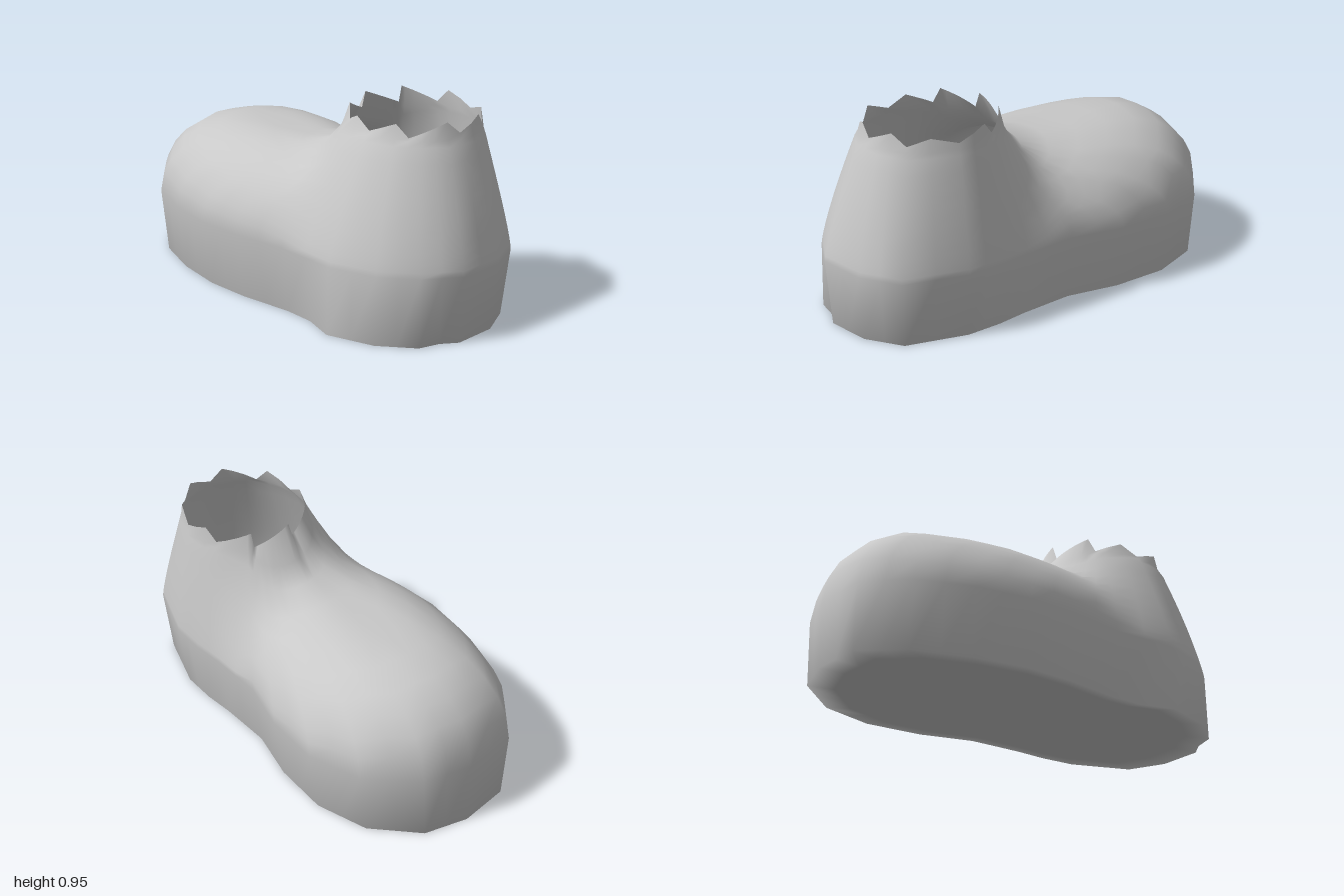
import * as THREE from 'three';

// widest outline of the foot (x, z) at y = 0.31, from the heel round by +x to the toe
const OUTLINE = [
  [0.13, 0.995], [0.35, 0.93], [0.505, 0.8], [0.555, 0.5], [0.53, 0.33], [0.49, 0.18], [0.44, -0.08],
  [0.46, -0.34], [0.425, -0.61], [0.3, -0.84], [0.07, -0.99], [-0.16, -1.0], [-0.41, -0.92],
  [-0.525, -0.71], [-0.56, -0.44], [-0.545, -0.18], [-0.485, 0.05], [-0.385, 0.31], [-0.32, 0.62],
  [-0.2, 0.82], [-0.05, 0.935],
].map(([x, z]) => new THREE.Vector2(x, z));
const ANKLE = { x: 0.185, z: 0.5, rx: 0.285, rz: 0.305 };
const WIDE_Y = 0.31;

const { smoothstep, lerp } = THREE.MathUtils;

// shortest distance from a point to the outline
function edgeDistance(p) {
  let best = Infinity;
  OUTLINE.forEach((a, i) => {
    const ab = OUTLINE[(i + 1) % OUTLINE.length].clone().sub(a);
    const t = THREE.MathUtils.clamp(p.clone().sub(a).dot(ab) / ab.lengthSq(), 0, 1);
    best = Math.min(best, p.distanceTo(a.clone().addScaledVector(ab, t)));
  });
  return best;
}

// approximate distance outward from the ankle opening
function ankleDistance(p) {
  const dx = p.x - ANKLE.x, dz = p.y - ANKLE.z;
  const e = Math.hypot(dx / ANKLE.rx, dz / ANKLE.rz);
  return Math.max(0, Math.hypot(dx, dz) * (1 - 1 / e));
}

// height of the upper: a rounded dome over the toe, rising walls round the ankle
function upperHeight(p) {
  const d = edgeDistance(p), a = ankleDistance(p);
  const toe = smoothstep(d + a, 0.22, 0.42);
  const q = Math.min(1, d / 0.42);
  const dome = Math.sqrt(1 - (1 - q) ** 2);
  const wall = Math.pow(d / (d + a + 1e-6), 0.8);
  const instep = 0.7 + 0.2 * Math.max(0, 1 - a / 0.24) ** 2;
  return WIDE_Y + (lerp(0.9, instep, toe) - WIDE_Y) * lerp(wall, dome, toe);
}

export function createModel() {
  const grey = new THREE.MeshStandardMaterial({ color: 0xc8c8c8, side: THREE.DoubleSide });
  grey.name = 'plain grey';

  // columns: outline corners and the points halfway between them
  const columns = OUTLINE.flatMap((a, i) => [a, a.clone().lerp(OUTLINE[(i + 1) % OUTLINE.length], 0.5)]);
  const n = columns.length;
  const position = [], index = [];

  // sole centre line and sole rings, tucked in under the widest outline
  const solePoint = (p, k) => {
    const flare = p.x < 0 && p.y > 0.6;
    const c = 0.16 * p.y;
    const sx = (flare ? 1.02 : 0.92) * k, sz = (flare ? 1.005 : p.y < 0 ? 1 : 0.975) * k;
    return [c * k + (p.x - c) * sx, 0, p.y * sz];
  };
  position.push(0, 0, 0);
  for (const k of [0.5, 0.88, 1]) for (const p of columns) position.push(...solePoint(p, k));

  // rings of the upper, running from the outline in to the ragged ankle edge
  for (const s of [0, 0.02, 0.06, 0.12, 0.2, 0.32, 0.46, 0.6, 0.74, 0.87, 0.94, 1]) {
    for (const p of columns) {
      const angle = Math.atan2(p.x - ANKLE.x, p.y - ANKLE.z);
      const rim = new THREE.Vector2(ANKLE.x + ANKLE.rx * Math.sin(angle), ANKLE.z + ANKLE.rz * Math.cos(angle));
      const q = p.clone().lerp(rim, s);
      const tooth = ((angle / (2 * Math.PI) + 1) * 9) % 1;
      position.push(q.x, s === 1 ? 0.87 + 0.08 * tooth : Math.min(0.86, upperHeight(q)), q.y);
    }
  }

  // faces: sole fan, then quads between neighbouring rings
  const rings = (position.length / 3 - 1) / n;
  for (let i = 0; i < n; i++) {
    const j = (i + 1) % n;
    index.push(0, 1 + j, 1 + i);
    for (let r = 0; r < rings - 1; r++) {
      const a = 1 + r * n + i, b = 1 + r * n + j;
      index.push(a, b, b + n, a, b + n, a + n);
    }
  }

  const geometry = new THREE.BufferGeometry();
  geometry.setAttribute('position', new THREE.Float32BufferAttribute(position, 3));
  geometry.setIndex(index);
  geometry.computeVertexNormals();

  const foot = new THREE.Mesh(geometry, grey);
  foot.name = 'footWithRaggedAnkle';
  const group = new THREE.Group();
  group.name = 'brokenFoot';
  group.add(foot);
  return group;
}
